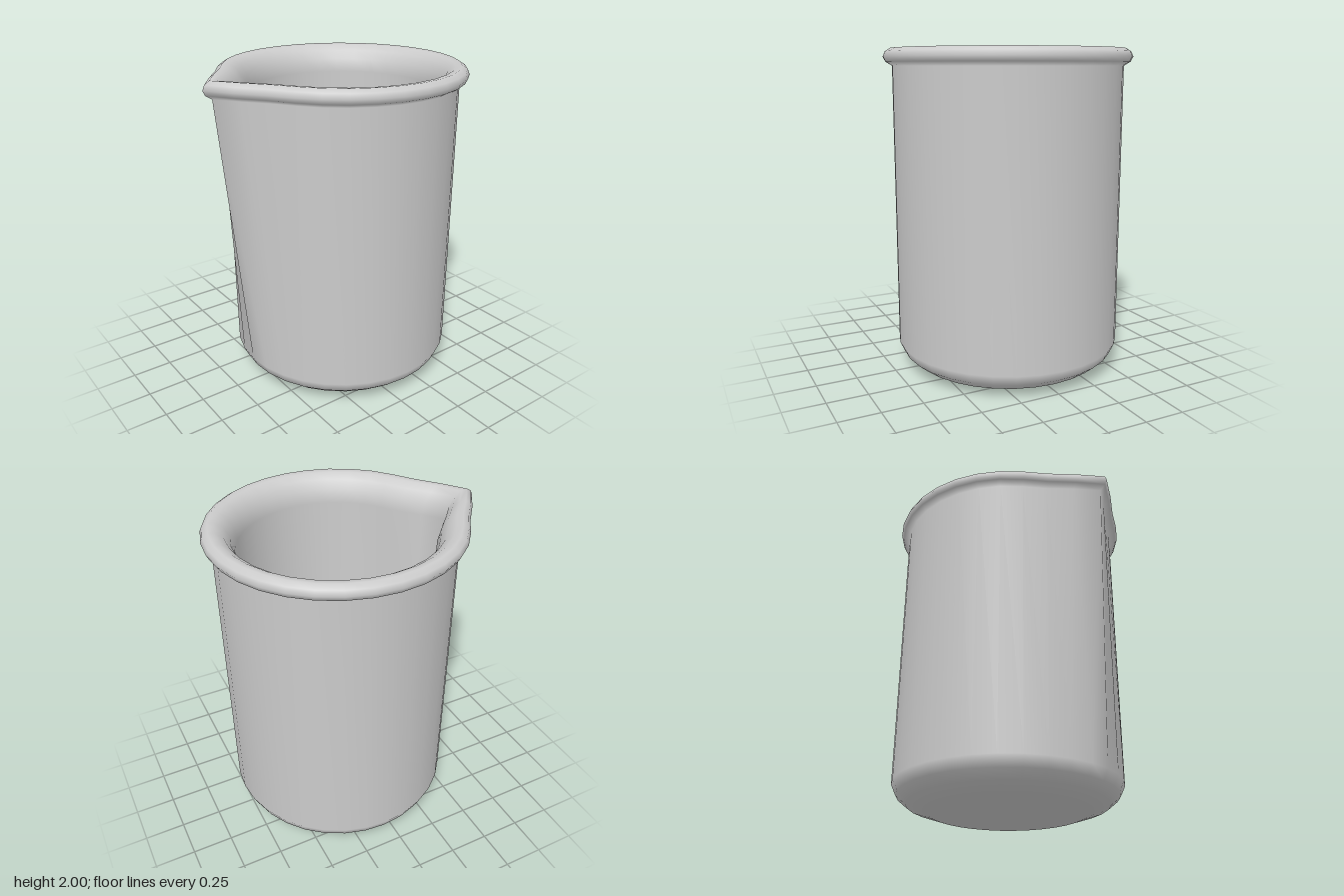
import * as THREE from 'three';
import { mergeVertices } from 'three/addons/utils/BufferGeometryUtils.js';

const SEGMENTS = 32;
const CENTRE_X = 0.085;

// Closed profile [radius, height]: under the base, up the outside, over the lip, down the inside.
const PROFILE = [
  [0, 0], [0.485, 0], [0.62, 0.045], [0.68, 0.095], [0.71, 0.16], // rounded base
  [0.71, 1.895], [0.75, 1.92], [0.765, 1.95], [0.752, 1.98], [0.72, 2], // rolled rim
  [0.68, 1.995], [0.635, 1.965], [0.6, 1.91], [0.58, 1.83], // flared mouth
  [0.58, 0.24], [0.55, 0.17], [0.48, 0.13], [0, 0.13], // inner wall and floor
];

// Sideways pull of the spout, by number of segments away from its tip.
const SPOUT_PULL = [0.175, 0.087, 0.018];

function pullSpout(geometry) {
  const pos = geometry.attributes.position;
  for (let i = 0; i < pos.count; i++) {
    const x = pos.getX(i), y = pos.getY(i), z = pos.getZ(i);
    if (Math.hypot(x, z) < 0.01) continue;
    const step = Math.round(Math.abs(Math.atan2(z, -x)) / (2 * Math.PI / SEGMENTS));
    const rise = THREE.MathUtils.clamp((y - 0.16) / 1.735, 0, 1);
    pos.setX(i, x - (SPOUT_PULL[step] ?? 0) * rise);
  }
}

export function createModel() {
  const group = new THREE.Group();
  group.name = 'beaker';

  const points = PROFILE.map(([r, y]) => new THREE.Vector2(r, y));
  let geometry = new THREE.LatheGeometry(points, SEGMENTS);
  pullSpout(geometry);

  // Weld the seam so the shading runs smoothly all round.
  geometry.deleteAttribute('normal');
  geometry.deleteAttribute('uv');
  geometry = mergeVertices(geometry, 1e-4);
  geometry.computeVertexNormals();

  const vessel = new THREE.Mesh(geometry, new THREE.MeshStandardMaterial({ color: 0xcccccc }));
  vessel.name = 'vesselWithSpout';
  vessel.position.x = CENTRE_X;
  group.add(vessel);
  return group;
}
